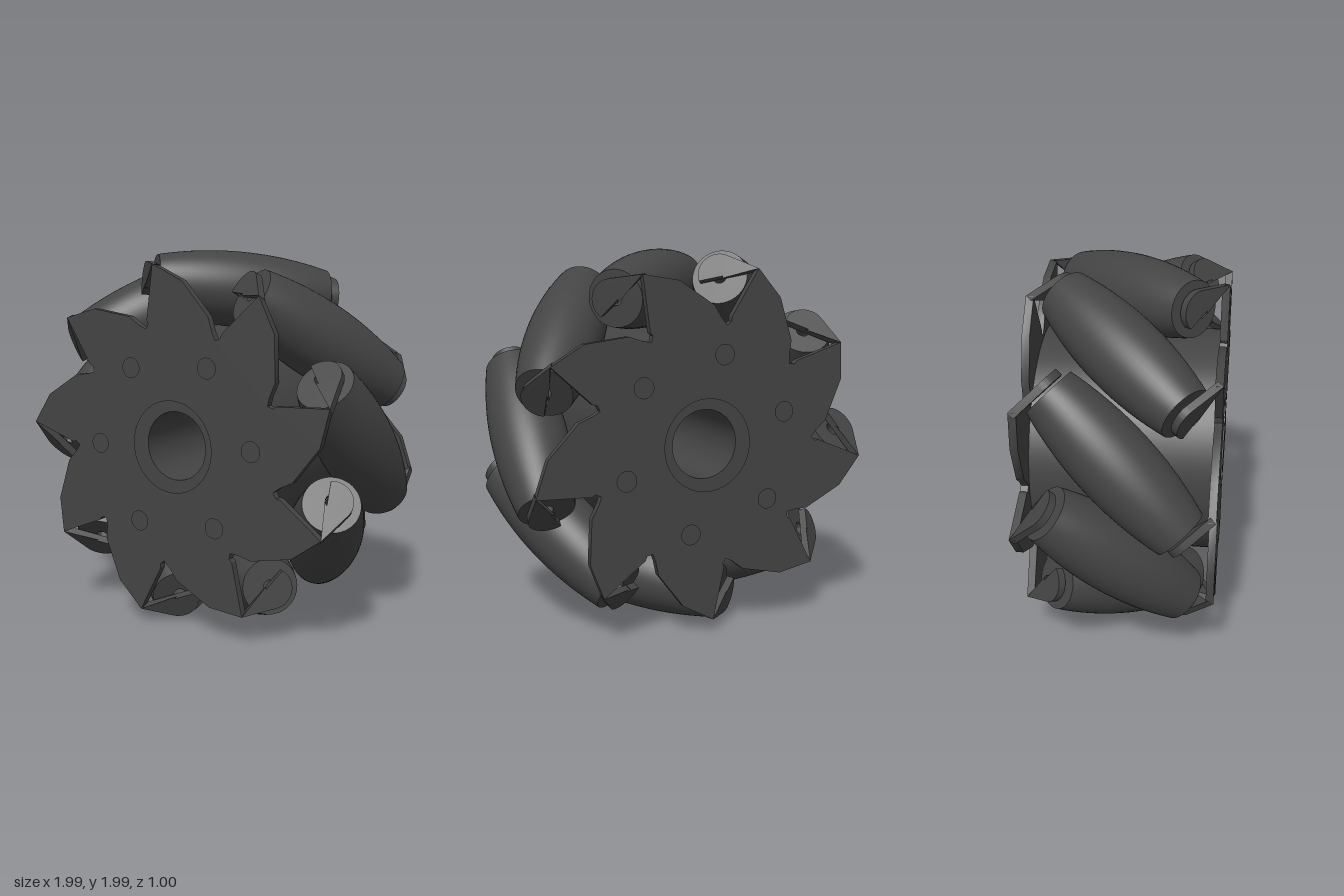
import * as THREE from 'three';
import { toCreasedNormals } from 'three/addons/utils/BufferGeometryUtils.js';

const COUNT = 9;              // rollers around the wheel
const STEP = (2 * Math.PI) / COUNT;
const HALF_WIDTH = 0.5;
const SHEET = 0.04;           // plate and tab thickness
const AXIS_RADIUS = 0.795;    // distance from wheel axis to roller axis
const FOLD_X = -0.236;        // fold line where a tab leaves the plate
const TILT = Math.PI / 4;

const material = new THREE.MeshStandardMaterial({ color: 0x444444 });

function part(name, geometry) {
  const mesh = new THREE.Mesh(geometry, material);
  mesh.name = name;
  return mesh;
}

function circle(x, y, r) {
  return new THREE.Path().absarc(x, y, r, 0, Math.PI * 2, true);
}

function extrude(shape, depth, curveSegments = 24) {
  const g = new THREE.ExtrudeGeometry(shape, { depth, bevelEnabled: false, curveSegments });
  return toCreasedNormals(g, 0.5);
}

// Toothed side plate with bore and six bolt holes
function plateGeometry() {
  const tooth = [
    [FOLD_X, 0.62], [FOLD_X, 0.905], [-0.047, 0.849], [0.13, 0.698],
    [0.162, 0.627], [0.187, 0.59], [0.215, 0.605],
  ];
  const points = [];
  for (let k = 0; k < COUNT; k++) {
    for (const [x, y] of tooth) {
      points.push(new THREE.Vector2(x, y).rotateAround(new THREE.Vector2(), -k * STEP));
    }
  }
  const shape = new THREE.Shape(points);
  shape.holes.push(circle(0, 0, 0.24));
  for (let k = 0; k < 6; k++) {
    const a = THREE.MathUtils.degToRad(10.75 + 60 * k);
    shape.holes.push(circle(0.47 * Math.cos(a), 0.47 * Math.sin(a), 0.052));
  }
  return extrude(shape, SHEET);
}

// Bent tab with rounded end and pin hole, drawn flat from the fold line
function tabGeometry() {
  const v = 0.184, r = 0.105;
  const shape = new THREE.Shape();
  shape.moveTo(0, 0.62);
  shape.absarc(v, AXIS_RADIUS, r, -0.85, 1.5, false);
  shape.lineTo(0, 0.905);
  shape.closePath();
  shape.holes.push(circle(v, AXIS_RADIUS, 0.035));
  return extrude(shape, SHEET);
}

// Barrel roller with a narrow axle bore
function rollerGeometry() {
  const half = 0.463, bore = 0.035, n = 16;
  const profile = [new THREE.Vector2(bore, -half)];
  for (let i = 0; i <= n; i++) {
    const t = (2 * i) / n - 1;
    profile.push(new THREE.Vector2(0.2 - 0.055 * t * t, half * t));
  }
  profile.push(new THREE.Vector2(bore, half), new THREE.Vector2(bore, -half));
  return toCreasedNormals(new THREE.LatheGeometry(profile, 48), 0.5);
}

export function createModel() {
  const model = new THREE.Group();
  model.name = 'rollerWheel';
  const wheel = new THREE.Group();
  wheel.name = 'wheel';
  wheel.position.set(0.005, 1.01, 0);
  wheel.rotation.z = THREE.MathUtils.degToRad(-7.75);
  model.add(wheel);

  // Hub drum between the plates
  const drum = new THREE.Shape().absarc(0, 0, 0.6, 0, Math.PI * 2, false);
  drum.holes.push(circle(0, 0, 0.18));
  const hubLength = 2 * (HALF_WIDTH - SHEET);
  const hub = part('hub', extrude(drum, hubLength, 48));
  hub.position.z = -hubLength / 2;
  wheel.add(hub);

  // Side plates with tabs; the back one is the front one turned half round
  const plateGeo = plateGeometry();
  const tabGeo = tabGeometry();
  for (const side of ['front', 'back']) {
    const bracket = new THREE.Group();
    bracket.name = side + 'Bracket';
    const plate = part(side + 'Plate', plateGeo);
    plate.position.z = HALF_WIDTH - SHEET;
    bracket.add(plate);
    for (let k = 0; k < COUNT; k++) {
      const arm = new THREE.Group();
      arm.name = side + 'Arm';
      const tab = part(side + 'Tab', tabGeo);
      tab.position.set(FOLD_X, 0, HALF_WIDTH);
      tab.rotation.y = Math.PI - TILT;
      arm.add(tab);
      arm.rotation.z = k * STEP;
      bracket.add(arm);
    }
    if (side === 'back') bracket.rotation.y = Math.PI;
    wheel.add(bracket);
  }

  // Rollers lying at 45 degrees to the wheel axis
  const rollerGeo = rollerGeometry();
  const axis = new THREE.Vector3(-Math.sin(TILT), 0, Math.cos(TILT));
  for (let k = 0; k < COUNT; k++) {
    const mount = new THREE.Group();
    mount.name = 'rollerMount';
    const roller = part('roller', rollerGeo);
    roller.position.y = AXIS_RADIUS;
    roller.quaternion.setFromUnitVectors(new THREE.Vector3(0, 1, 0), axis);
    mount.add(roller);
    mount.rotation.z = k * STEP;
    wheel.add(mount);
  }
  return model;
}
